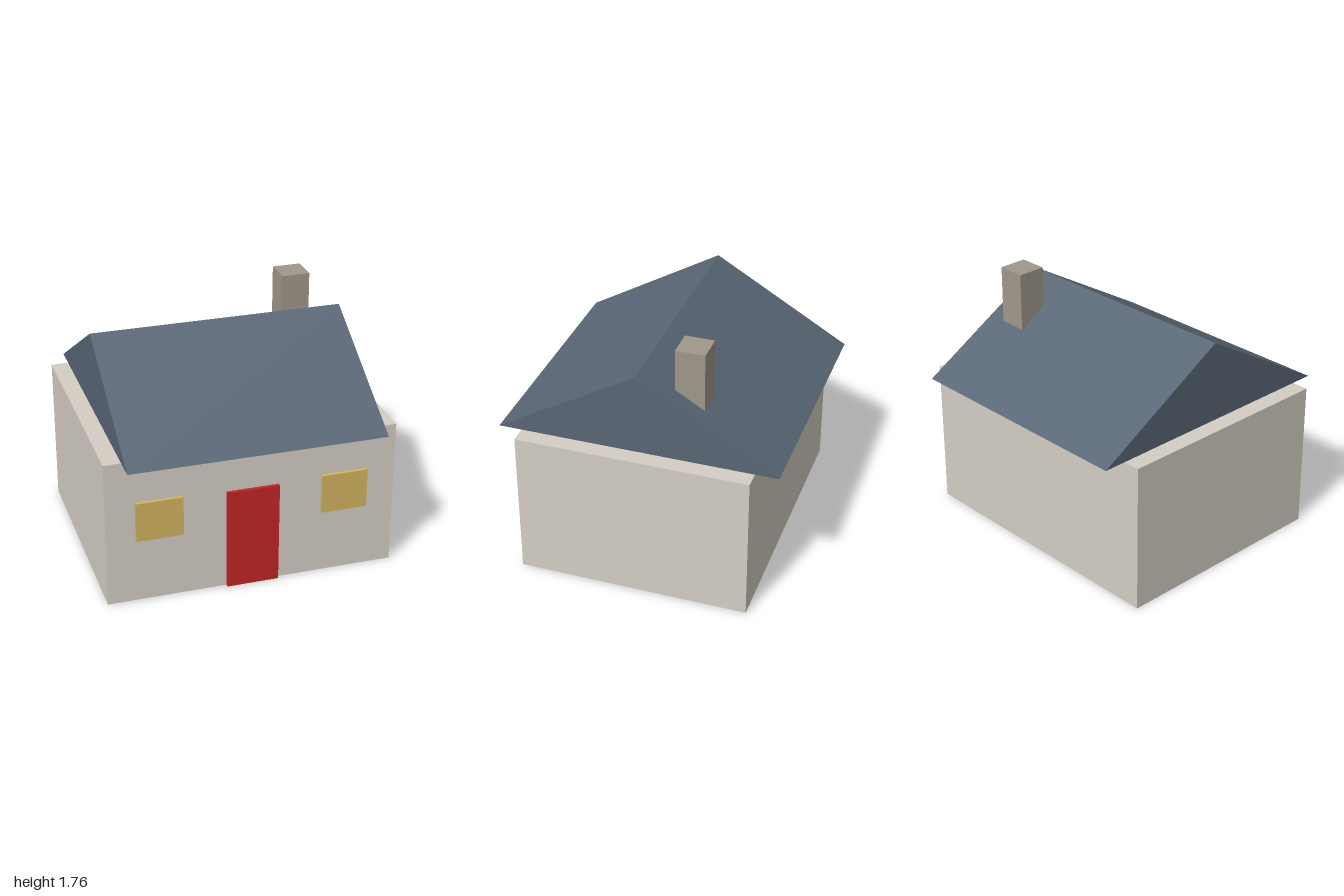
import * as THREE from 'three';

const flat = (name, color) => {
  const material = new THREE.MeshStandardMaterial({ color });
  material.name = name;
  return material;
};

export function createModel() {
  const house = new THREE.Group();
  house.name = 'house';

  const wall = flat('wall plaster', 0xd4cec4);
  const slate = flat('roof slate', 0x596675);
  const red = flat('door red', 0xc22525);
  const amber = flat('window amber', 0xd3b45f);
  const stone = flat('chimney stone', 0xa0988a);

  const add = (name, geometry, material) => {
    const mesh = new THREE.Mesh(geometry, material);
    mesh.name = name;
    house.add(mesh);
    return mesh;
  };

  // Box given by its centre in x and z, its bottom y and its size
  const box = (name, [w, h, d], [x, y, z], material) =>
    add(name, new THREE.BoxGeometry(w, h, d).translate(x, y + h / 2, z), material);

  // Walls, standing on the ground
  box('walls', [2, 1.04, 1.6], [0, 0, 0], wall);

  // Gable roof: triangle in the z-y plane, extruded along x
  const eave = 0.96, length = 1.76;
  const gable = new THREE.Shape([
    new THREE.Vector2(-eave, 1.04),
    new THREE.Vector2(eave, 1.04),
    new THREE.Vector2(0, 1.6),
  ]);
  const roof = new THREE.ExtrudeGeometry(gable, { depth: length, bevelEnabled: false });
  roof.translate(0, 0, -length / 2).rotateY(Math.PI / 2);
  add('roof', roof, slate);

  // Chimney, sunk into the back slope
  box('chimney', [0.2, 0.52, 0.2], [0.64, 1.24, -0.32], stone);

  // Door and a window on each side of it, set into the front wall
  box('door', [0.36, 0.72, 0.05], [0, 0, 0.8], red);
  for (const side of [-1, 1]) {
    box(side > 0 ? 'leftWindow' : 'rightWindow', [0.32, 0.28, 0.05], [side * 0.64, 0.46, 0.8], amber);
  }

  return house;
}
